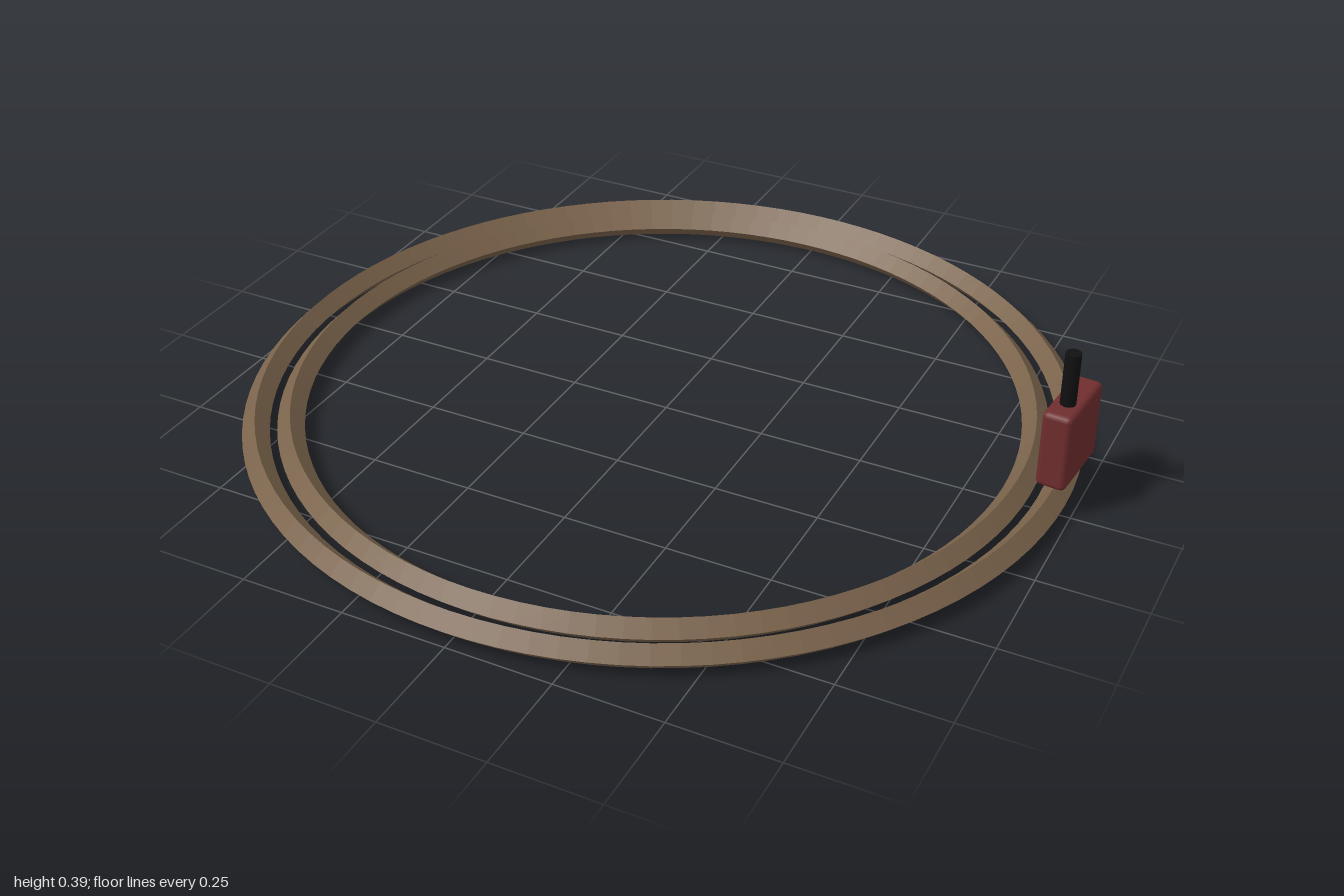
import * as THREE from 'three';
import { RoundedBoxGeometry } from 'three/addons/geometries/RoundedBoxGeometry.js';

const material = (name, color, flatShading = false) => {
  const m = new THREE.MeshStandardMaterial({ color, flatShading });
  m.name = name;
  return m;
};

export function createModel() {
  const model = new THREE.Group();
  model.name = 'circularTrack';
  const brown = material('railBrown', 0x7a634b, true);
  const red = material('carRed', 0x702d2e);
  const black = material('poleBlack', 0x111111);

  const add = (parent, name, geometry, mat, x, y, z) => {
    const mesh = new THREE.Mesh(geometry, mat);
    mesh.name = name;
    mesh.position.set(x, y, z);
    parent.add(mesh);
    return mesh;
  };

  // Two concentric rails with a diamond cross-section
  const tube = 0.032;
  for (const [name, radius] of [['outerRail', 0.961], ['innerRail', 0.88]]) {
    const ring = new THREE.TorusGeometry(radius, tube, 4, 100).rotateX(-Math.PI / 2);
    add(model, name, ring, brown, -0.007, tube, 0);
  }

  // Small car riding on the outer rail, turned slightly
  const car = new THREE.Group();
  car.name = 'car';
  car.position.set(0.956, 0.167, -0.078);
  car.rotation.y = -0.08;
  model.add(car);
  add(car, 'carBody', new RoundedBoxGeometry(0.07, 0.19, 0.19, 2, 0.013), red, 0, 0, 0);

  // Upright pole near the front of the car
  add(car, 'pole', new THREE.CylinderGeometry(0.018, 0.018, 0.15, 16), black, 0, 0.148, 0.032);

  return model;
}
